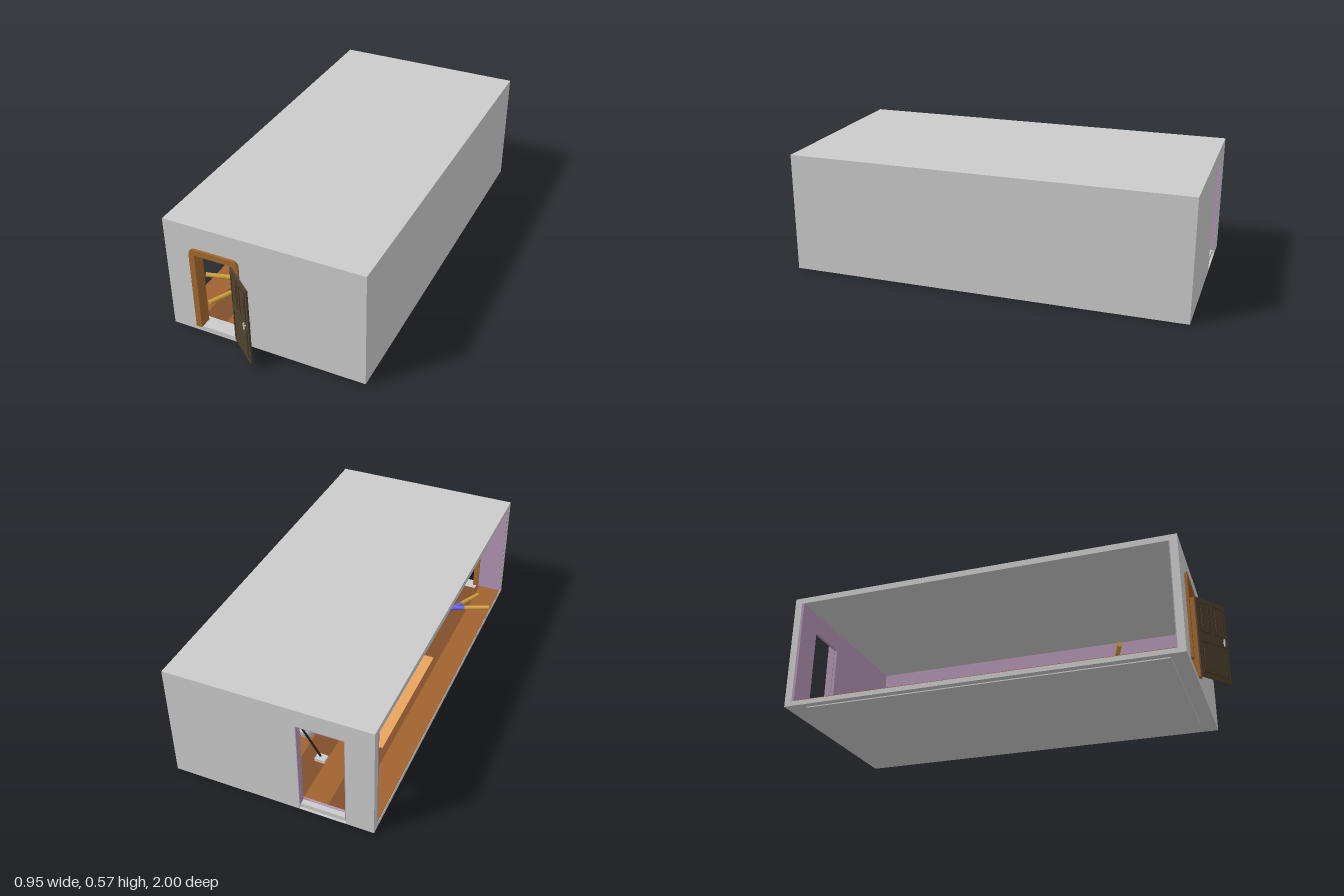
import * as THREE from 'three';

const GREY = 0xcccccc, LILAC = 0xb294b4, WOOD = 0xa1682e, DARK = 0x50412e;
const TAN = 0xd0a040, BLUE = 0x6a6ae6;

function mat(color, extra = {}) {
  return new THREE.MeshStandardMaterial({ color, ...extra });
}

function add(parent, name, geo, color, extra) {
  const m = new THREE.Mesh(geo, mat(color, extra));
  m.name = name;
  parent.add(m);
  return m;
}

// Box given by its minimum and maximum on each axis
function box(parent, name, color, x0, x1, y0, y1, z0, z1) {
  const m = add(parent, name, new THREE.BoxGeometry(x1 - x0, y1 - y0, z1 - z0), color);
  m.position.set((x0 + x1) / 2, (y0 + y1) / 2, (z0 + z1) / 2);
  return m;
}

function rect(P, x0, x1, y0, y1) {
  const p = new P();
  p.moveTo(x0, y0);
  p.lineTo(x1, y0);
  p.lineTo(x1, y1);
  p.lineTo(x0, y1);
  p.closePath();
  return p;
}

// Upright wall panel with one rectangular doorway
function panel(parent, name, color, r, hole, z, depth) {
  const s = rect(THREE.Shape, ...r);
  s.holes.push(rect(THREE.Path, ...hole));
  const g = new THREE.ExtrudeGeometry(s, { depth, bevelEnabled: false });
  add(parent, name, g, color).position.z = z;
}

// Round bar between two points, with a blue middle third
function pole(parent, a, b) {
  const g = new THREE.Group();
  g.name = 'stripedPole';
  const dir = b.clone().sub(a), len = dir.length() / 3;
  [TAN, BLUE, TAN].forEach((c, i) => {
    add(g, i === 1 ? 'poleBand' : 'poleEnd', new THREE.CylinderGeometry(0.011, 0.011, len, 16), c)
      .position.y = (i - 1) * len;
  });
  g.position.copy(a).add(b).multiplyScalar(0.5);
  g.quaternion.setFromUnitVectors(new THREE.Vector3(0, 1, 0), dir.normalize());
  parent.add(g);
}

// Small crate with a blue band around its middle
function crate(parent, x, z, turn) {
  const g = new THREE.Group();
  g.name = 'crate';
  const s = 0.065;
  add(g, 'crateBody', new THREE.BoxGeometry(s, s, s), TAN).position.y = s / 2;
  add(g, 'crateBand', new THREE.BoxGeometry(s * 0.34, s * 1.02, s * 1.02), BLUE).position.y = s / 2;
  add(g, 'crateBand', new THREE.BoxGeometry(s * 1.02, s * 1.02, s * 0.34), BLUE).position.y = s / 2;
  g.position.set(x, 0.031, z);
  g.rotation.y = turn;
  parent.add(g);
}

function buildShell(root) {
  const g = new THREE.Group();
  g.name = 'building';
  root.add(g);
  const X = 0.472, zi0 = -0.965, zi1 = 0.835;
  box(g, 'foundation', GREY, -0.44, 0.34, 0, 0.006, -0.9, 0.8);
  box(g, 'floorSlab', GREY, -X, X, 0.005, 0.028, zi0, zi1);
  box(g, 'roof', GREY, -X, X, 0.543, 0.572, zi0, zi1);
  box(g, 'sideWall', GREY, 0.442, X, 0.028, 0.543, zi0, zi1);
  panel(g, 'frontWall', GREY, [-X, X, 0.005, 0.572], [-0.337, -0.123, 0.03, 0.445], zi1, 0.035);
  panel(g, 'backWall', GREY, [-X, X, 0.005, 0.572], [-0.345, -0.13, 0.008, 0.487], -1, 0.035);

  // Painted inner faces
  const inner = [-0.471, 0.442, 0.03, 0.543];
  panel(g, 'frontLining', LILAC, inner, [-0.337, -0.123, 0.031, 0.445], zi1 - 0.004, 0.004);
  panel(g, 'backLining', LILAC, inner, [-0.337, -0.125, 0.031, 0.445], zi0, 0.012);
  box(g, 'sideLining', LILAC, 0.438, 0.442, 0.03, 0.543, zi0, zi1);
  // Reveal around the back doorway
  box(g, 'backReveal', LILAC, -0.345, -0.342, 0.03, 0.487, -0.9995, zi0);
  box(g, 'backReveal', LILAC, -0.133, -0.13, 0.03, 0.487, -0.9995, zi0);
  box(g, 'backReveal', LILAC, -0.345, -0.13, 0.484, 0.487, -0.9995, zi0);
  box(g, 'backSill', 0xe8e8e8, -0.345, -0.13, 0.008, 0.03, -0.99, zi0);
  box(g, 'frontSill', 0xe8e8e8, -0.337, -0.123, 0.028, 0.0315, 0.8, 0.87);

  // Floorboards running front to back in two tones
  const n = 8, w = 0.91 / n;
  for (let i = 0; i < n; i++) {
    const x = -0.47 + i * w;
    box(g, 'floorboard', i % 2 ? 0x80502a : 0xa0632f, x, x + w, 0.028, 0.031, zi0 + 0.001, zi1 - 0.001);
  }
}

function buildDoor(root) {
  // Door surround with rounded top corners
  const s = new THREE.Shape();
  const [l, r, b, t, c, k] = [-0.348, -0.11, 0.035, 0.46, 0.03, 0.028];
  s.moveTo(l, b);
  s.lineTo(l + k, b);
  s.lineTo(l + k, t - k);
  s.lineTo(r - k, t - k);
  s.lineTo(r - k, b);
  s.lineTo(r, b);
  s.lineTo(r, t - c);
  s.quadraticCurveTo(r, t, r - c, t);
  s.lineTo(l + c, t);
  s.quadraticCurveTo(l, t, l, t - c);
  s.closePath();
  const geo = new THREE.ExtrudeGeometry(s, { depth: 0.06, bevelEnabled: false });
  add(root, 'doorFrame', geo, WOOD).position.z = 0.822;

  // Open leaf, hinged at its local origin
  const d = new THREE.Group();
  d.name = 'door';
  d.position.set(-0.143, 0, 0.883);
  d.rotation.y = -Math.atan2(0.11, 0.142);
  root.add(d);
  box(d, 'doorLeaf', DARK, 0, 0.181, 0.035, 0.43, -0.004, 0.004);
  const panels = [[0.009, 0.077, 0.258, 0.408], [0.096, 0.164, 0.258, 0.408], [0.014, 0.166, 0.055, 0.212]];
  for (const [x0, x1, y0, y1] of panels) {
    const m = 0.006;
    // Raised moulding and bevelled field on both faces
    panel(d, 'doorMoulding', 0x463827, [x0, x1, y0, y1], [x0 + m, x1 - m, y0 + m, y1 - m], -0.0065, 0.013);
    const q = x1 - x0 > 0.1 ? 0.012 : 0.018;
    box(d, 'doorField', DARK, x0 + q, x1 - q, y0 + q * 1.4, y1 - q * 1.4, -0.0065, 0.0065);
  }
  for (const side of [-1, 1]) {
    const h = add(d, 'doorHandle', new THREE.CapsuleGeometry(0.004, 0.03, 4, 10), GREY);
    h.position.set(0.152, 0.231, side * 0.013);
    const stem = add(d, 'handleStem', new THREE.CylinderGeometry(0.003, 0.003, 0.012, 8), GREY);
    stem.position.set(0.152, 0.231, side * 0.008);
    stem.rotation.x = Math.PI / 2;
  }
}

function buildFurnishings(root) {
  // Rug with a toothed fringe at both ends
  const s = new THREE.Shape();
  const [x0, x1, z0, z1] = [-0.33, 0.0, -0.56, 0.14];
  const n = 24, step = (x1 - x0) / n;
  s.moveTo(x0, -z1);
  for (let i = 0; i < n; i++) {
    s.lineTo(x0 + (i + 0.5) * step, -z1 + 0.008);
    s.lineTo(x0 + (i + 1) * step, -z1);
  }
  s.lineTo(x1, -z0);
  for (let i = n - 1; i >= 0; i--) {
    s.lineTo(x0 + (i + 0.5) * step, -z0 - 0.008);
    s.lineTo(x0 + i * step, -z0);
  }
  const rug = add(root, 'rug', new THREE.ExtrudeGeometry(s, { depth: 0.003, bevelEnabled: false }), 0xe8a45f);
  rug.rotation.x = -Math.PI / 2;
  rug.position.y = 0.031;

  // Crossed poles, one resting on the other
  const V = (x, y, z) => new THREE.Vector3(x, y, z);
  pole(root, V(-0.477, 0.077, 0.595), V(-0.11, 0.053, 0.467));
  pole(root, V(-0.377, 0.043, 0.73), V(-0.2, 0.043, 0.38));

  crate(root, 0.02, 0.61, 0.1);
  crate(root, 0.1, 0.43, -0.15);
  crate(root, 0.07, 0.75, 0.3);

  // Floor cleaner: round body, leaning tube and flat head
  const c = new THREE.Group();
  c.name = 'floorCleaner';
  root.add(c);
  const profile = [[0, 0], [0.025, 0], [0.03, 0.012], [0.042, 0.04], [0.045, 0.055], [0.04, 0.06], [0.036, 0.075], [0, 0.08]];
  const body = new THREE.LatheGeometry(profile.map(p => new THREE.Vector2(...p)), 32);
  add(c, 'cleanerBody', body, 0xe0e0e0, { side: THREE.DoubleSide }).position.set(0.02, 0.031, -0.61);
  const tube = new THREE.TubeGeometry(new THREE.LineCurve3(V(-0.1, 0.045, -0.72), V(0.03, 0.27, -0.73)), 1, 0.005, 10);
  add(c, 'cleanerTube', tube, 0x2a2018, { side: THREE.DoubleSide });
  box(c, 'cleanerHead', 0xe0e0e0, -0.13, -0.08, 0.031, 0.046, -0.745, -0.705);
}

export function createModel() {
  const root = new THREE.Group();
  root.name = 'room';
  buildShell(root);
  buildDoor(root);
  buildFurnishings(root);
  return root;
}
